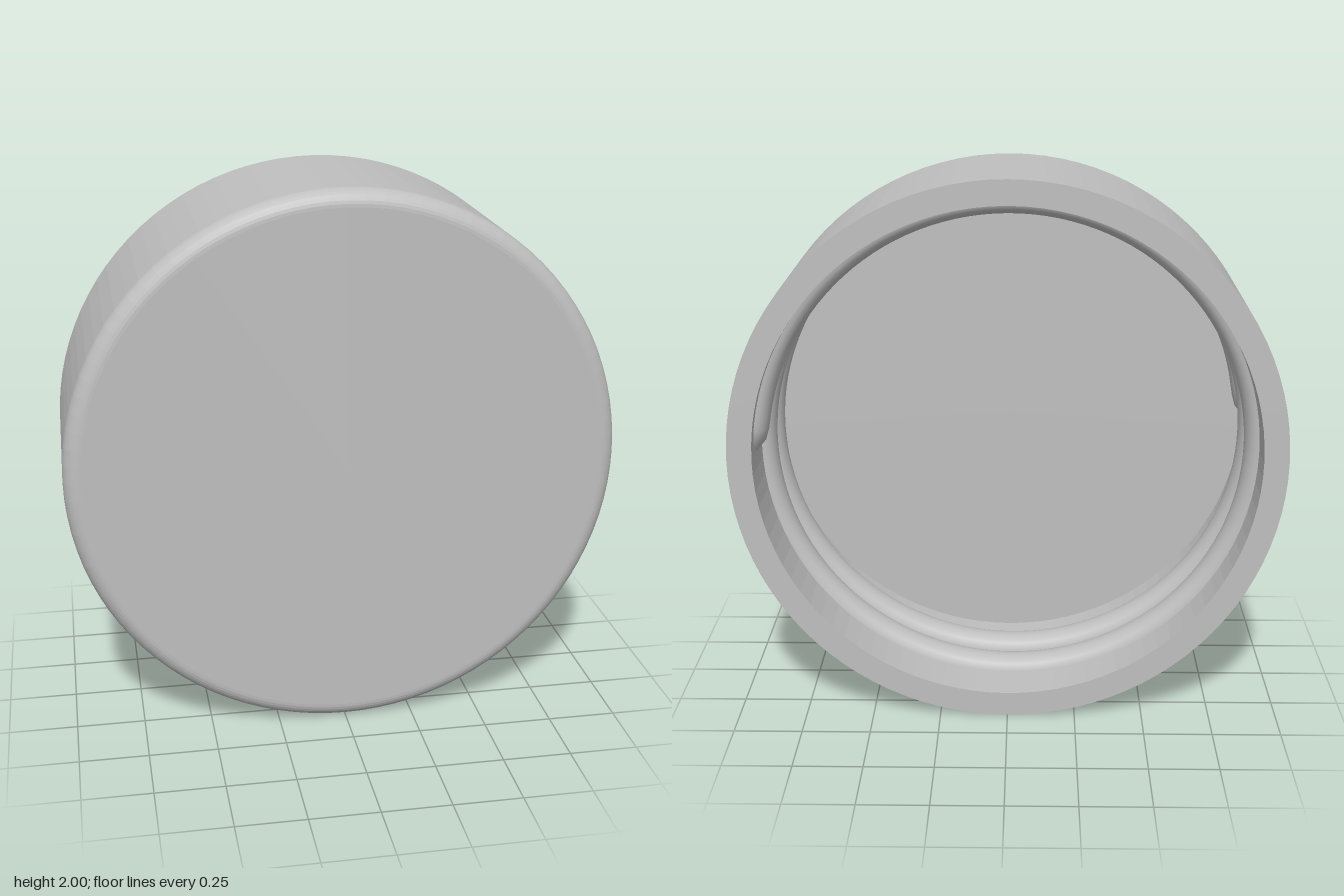
import * as THREE from 'three';

const FRONT = 0.36, BACK = -0.36, INNER = 0.91, FLOOR = 0.26, FILLET = 0.06;

// Cap shell: hollow cup with a rounded front edge, faceted around the axis
function shellGeometry() {
  const pts = [[0, FLOOR], [INNER, FLOOR], [INNER, BACK], [1, BACK]];
  for (let i = 0; i <= 8; i++) {
    const a = (i / 8) * Math.PI / 2;
    pts.push([1 - FILLET + FILLET * Math.cos(a), FRONT - FILLET + FILLET * Math.sin(a)]);
  }
  pts.push([0, FRONT]);
  const lathe = new THREE.LatheGeometry(pts.map(p => new THREE.Vector2(p[0], p[1])), 96);
  lathe.rotateX(Math.PI / 2);
  const flat = lathe.toNonIndexed();
  flat.computeVertexNormals();
  return flat;
}

// Screw thread: half-round ridge swept along a helix, rounded off at both ends
function threadGeometry() {
  const turns = 2.5, steps = 300, sides = 10;
  const height = 0.05, halfWidth = 0.065, zStart = BACK + 0.1, zEnd = BACK + 0.56;
  const total = turns * Math.PI * 2, endAngle = 0.14;
  const pos = [], idx = [];
  for (let i = 0; i <= steps; i++) {
    const t = i / steps, ang = t * total;
    const e = Math.min(1, Math.min(ang, total - ang) / endAngle);
    const k = Math.sqrt(Math.max(0, 1 - (1 - e) ** 2));
    for (let j = 0; j <= sides; j++) {
      const a = (j / sides) * Math.PI;
      const r = INNER + 0.002 - height * k * Math.sin(a);
      const z = zStart + (zEnd - zStart) * t + halfWidth * k * Math.cos(a);
      pos.push(r * Math.cos(ang), r * Math.sin(ang), z);
      if (i < steps && j < sides) {
        const p = i * (sides + 1) + j, q = p + sides + 1;
        idx.push(p, q, p + 1, q, q + 1, p + 1);
      }
    }
  }
  const g = new THREE.BufferGeometry();
  g.setAttribute('position', new THREE.Float32BufferAttribute(pos, 3));
  g.setIndex(idx);
  g.computeVertexNormals();
  return g;
}

export function createModel() {
  const grey = new THREE.MeshStandardMaterial({ color: 0xbfbfbf });
  grey.name = 'grey plastic';

  const cap = new THREE.Group();
  cap.name = 'screwCap';
  const shell = new THREE.Mesh(shellGeometry(), grey);
  shell.name = 'shell';
  const thread = new THREE.Mesh(threadGeometry(), grey);
  thread.name = 'innerThread';
  cap.add(shell, thread);
  cap.position.y = 1;

  const model = new THREE.Group();
  model.name = 'model';
  model.add(cap);
  return model;
}
